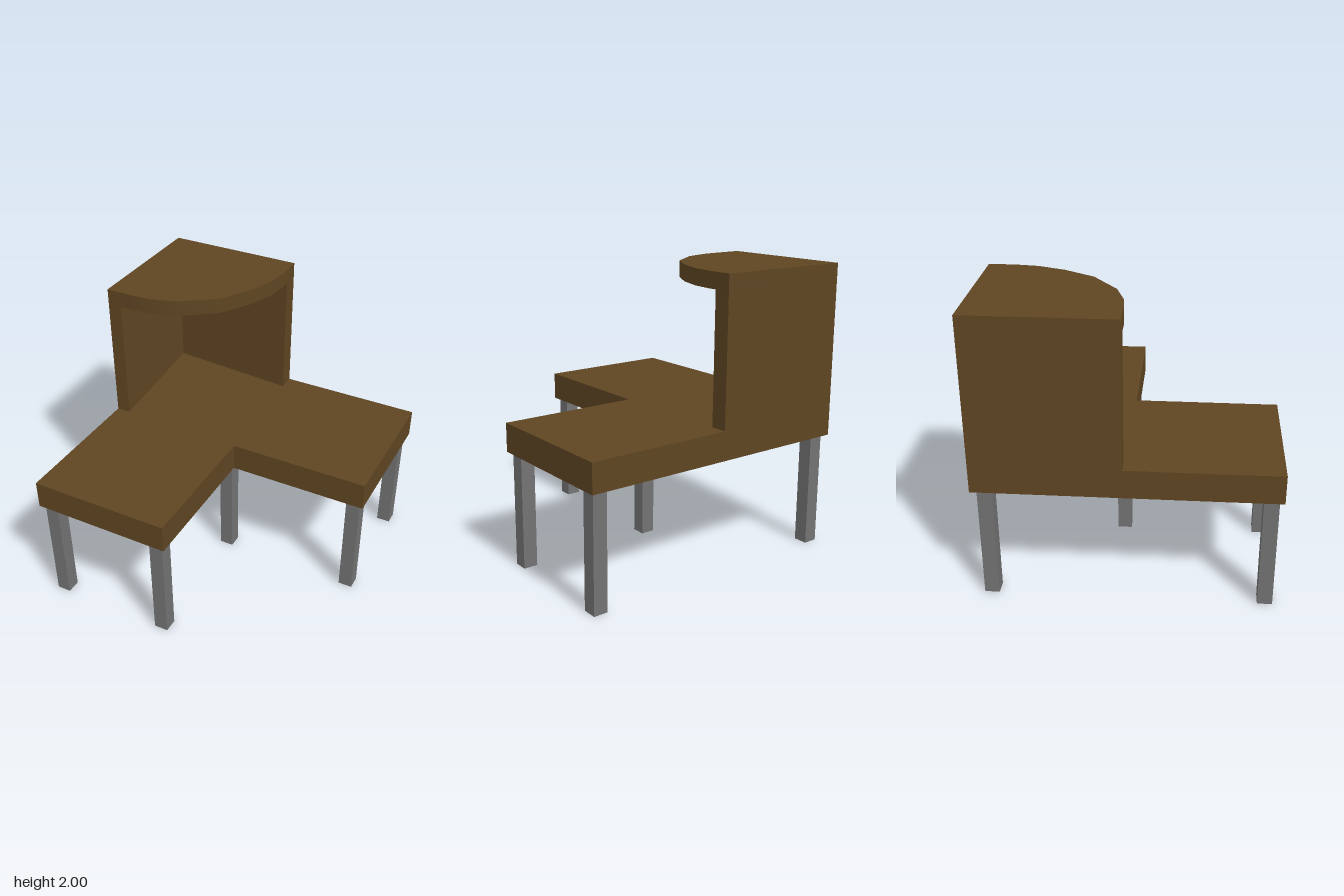
import * as THREE from 'three';
import { toCreasedNormals } from 'three/addons/utils/BufferGeometryUtils.js';

const wood = new THREE.MeshStandardMaterial({ color: 0x5f4522 });
wood.name = 'brown wood';
const metal = new THREE.MeshStandardMaterial({ color: 0x737373 });
metal.name = 'grey metal';

// Upright slab from a plan outline of [x, z] points, between two heights
function slab(name, plan, bottom, top) {
  const shape = new THREE.Shape(plan.map(([x, z]) => new THREE.Vector2(x, -z)));
  const geometry = new THREE.ExtrudeGeometry(shape, { depth: top - bottom, bevelEnabled: false });
  geometry.rotateX(-Math.PI / 2).translate(0, bottom, 0);
  const mesh = new THREE.Mesh(toCreasedNormals(geometry, 0.6), wood);
  mesh.name = name;
  return mesh;
}

export function createModel() {
  const group = new THREE.Group();
  group.name = 'cornerDesk';

  // L-shaped top
  group.add(slab('deskTop', [[-1, -1], [1, -1], [1, 0], [0, 0], [0, 1], [-1, 1]], 0.8, 1));

  // Hood walls, thinner towards the inner corner
  group.add(slab('hoodWalls', [
    [-1, -1], [-0.02, -1], [-0.02, -0.88], [-0.97, -0.96], [-0.9, -0.02], [-1, -0.02],
  ], 1, 1.89));

  // Hood roof with a curved front edge
  group.add(slab('hoodRoof', [
    [-1, -1], [-0.02, -1], [-0.02, -0.82], [-0.04, -0.66], [-0.11, -0.47], [-0.24, -0.26],
    [-0.47, -0.09], [-0.66, -0.03], [-0.8, -0.02], [-1, -0.02],
  ], 1.89, 2));

  // Square legs, one inside each corner of the top
  const legGeometry = new THREE.BoxGeometry(0.1, 0.8, 0.1);
  const spots = [[-0.92, -0.91], [0.92, -0.91], [0.92, -0.08], [-0.08, -0.08], [-0.08, 0.92], [-0.92, 0.92]];
  for (const [x, z] of spots) {
    const leg = new THREE.Mesh(legGeometry, metal);
    leg.name = 'leg';
    leg.position.set(x, 0.4, z);
    group.add(leg);
  }
  return group;
}
